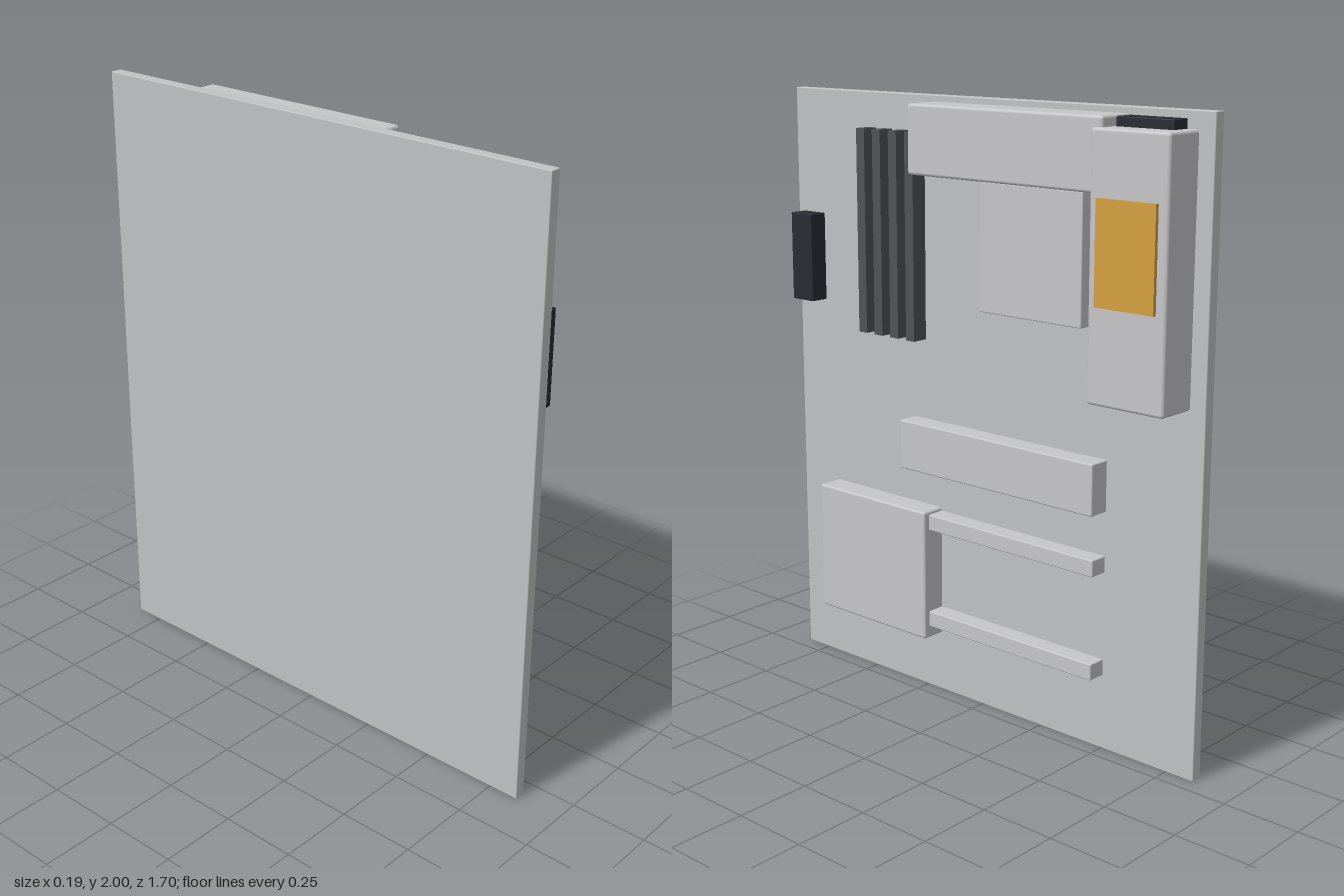
import * as THREE from 'three';
import { RoundedBoxGeometry } from 'three/addons/geometries/RoundedBoxGeometry.js';

const material = (name, color) => {
  const m = new THREE.MeshStandardMaterial({ color });
  m.name = name;
  return m;
};

export function createModel() {
  const group = new THREE.Group();
  const boardGrey = material('board grey', 0xc0c2c4);
  const silver = material('silver', 0xc6c6ca);
  const slotGrey = material('slot grey', 0x505254);
  const black = material('connector black', 0x2a2a33);
  const gold = material('gold', 0xd4a040);

  const back = -0.093, face = -0.054; // the two sides of the board

  // Adds a block from its extents; a radius rounds its edges.
  const block = (name, mat, [x0, x1], [y0, y1], [z0, z1], radius = 0) => {
    const size = [x1 - x0, y1 - y0, z1 - z0];
    const geometry = radius
      ? new RoundedBoxGeometry(...size, 2, radius)
      : new THREE.BoxGeometry(...size);
    const mesh = new THREE.Mesh(geometry, mat);
    mesh.name = name;
    mesh.position.set((x0 + x1) / 2, (y0 + y1) / 2, (z0 + z1) / 2);
    group.add(mesh);
  };

  block('board', boardGrey, [back, face], [0, 2], [-0.85, 0.85], 0.003);

  // Heat sinks and port cover; rounded blocks sink slightly into the board
  const seat = face - 0.012;
  block('topHeatSink', silver, [seat, 0.065], [1.76, 1.98], [-0.55, 0.215], 0.01);
  block('portCover', silver, [seat, 0.08], [1.147, 1.948], [-0.795, -0.52], 0.01);
  block('coverPlate', gold, [0.079, 0.092], [1.44, 1.753], [-0.762, -0.552]);
  block('chipsetHeatSink', silver, [seat, 0.03], [0.205, 0.65], [0.185, 0.685], 0.008);
  block('driveHeatSink', silver, [seat, 0.017], [0.78, 0.945], [-0.5, 0.305], 0.005);
  block('processorSocket', silver, [seat, -0.008], [1.345, 1.752], [-0.427, -0.022], 0.004);

  // Expansion slots running under the chipset heat sink
  for (const y of [0.273, 0.612]) {
    block('expansionSlot', silver, [seat, 0.008], [y - 0.027, y + 0.027], [-0.5, 0.3], 0.004);
  }

  // Four memory slots
  for (let i = 0; i < 4; i++) {
    const z = 0.27 + i * 0.0725;
    block('memorySlot', slotGrey, [face, 0.002], [1.212, 1.885], [z - 0.018, z + 0.018]);
  }

  // Power connectors
  block('mainPowerConnector', black, [face, 0.011], [1.288, 1.585], [0.722, 0.82], 0.003);
  block('processorPowerConnector', black, [face, 0.011], [1.88, 1.977], [-0.757, -0.557], 0.003);

  return group;
}
